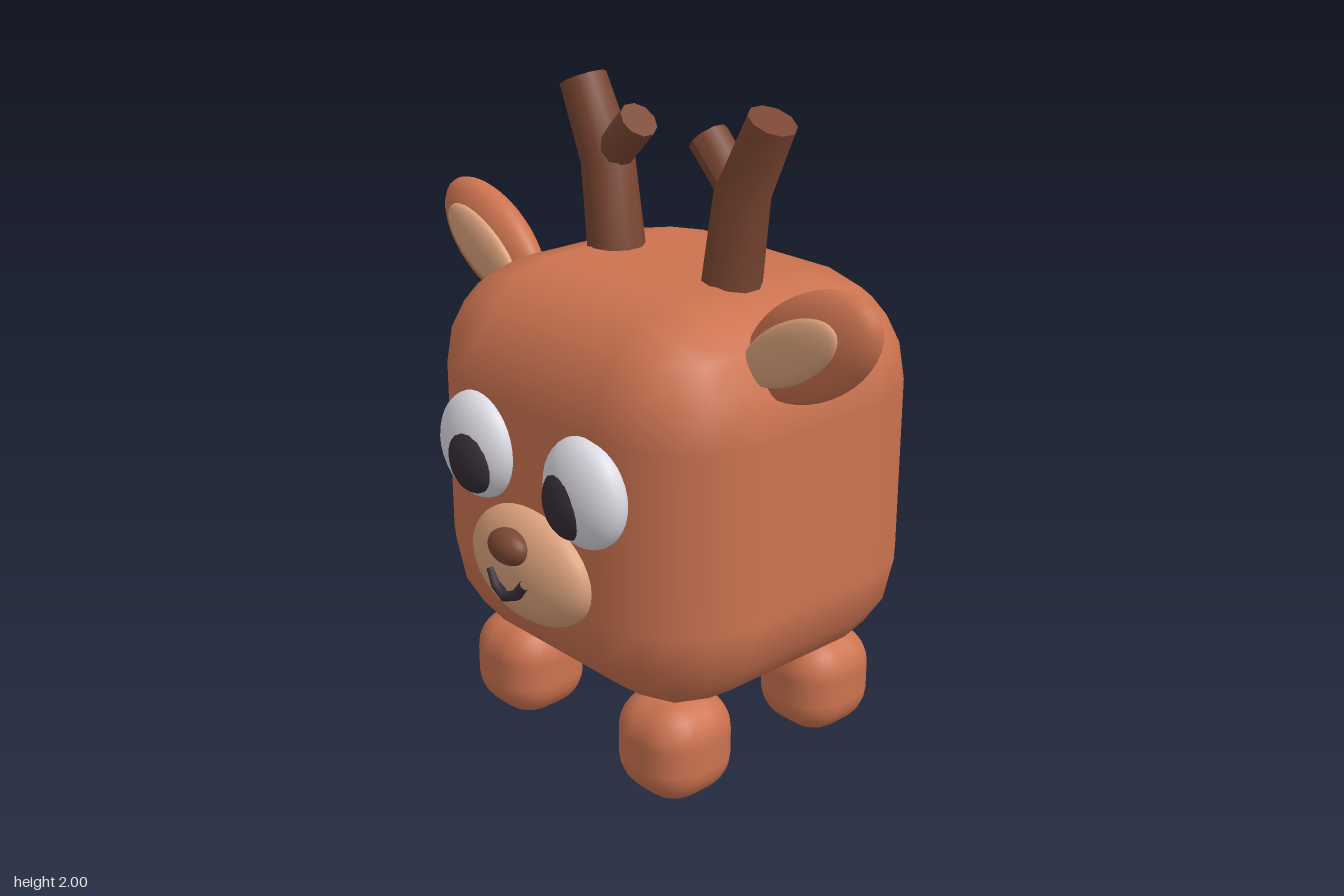
import * as THREE from 'three';
import { RoundedBoxGeometry } from 'three/addons/geometries/RoundedBoxGeometry.js';

const material = (name, color, side = THREE.FrontSide) => {
  const m = new THREE.MeshStandardMaterial({ color, side });
  m.name = name;
  return m;
};

export function createModel() {
  const fur = material('fur', 0xcc7350);
  const tan = material('tan', 0xdba27c);
  const brown = material('antlerBrown', 0x7a4632);
  const white = material('eyeWhite', 0xdcdae2);
  const dark = material('dark', 0x362d37, THREE.DoubleSide);

  const model = new THREE.Group();
  model.name = 'cubeDeer';

  const add = (name, geometry, mat, x = 0, y = 0, z = 0, parent = model) => {
    const mesh = new THREE.Mesh(geometry, mat);
    mesh.name = name;
    mesh.position.set(x, y, z);
    parent.add(mesh);
    return mesh;
  };
  const ellipsoid = (rx, ry, rz) => new THREE.SphereGeometry(1, 28, 18).scale(rx, ry, rz);

  // Round limb through a list of [x, y, radius, tilt] rings
  const limb = (rings) => {
    const n = rings.length - 1;
    const g = new THREE.CylinderGeometry(1, 1, 1, 10, n);
    const p = g.attributes.position;
    for (let i = 0; i < p.count; i++) {
      const [cx, cy, r, tilt] = rings[Math.round((p.getY(i) + 0.5) * n)];
      const px = p.getX(i) * r;
      p.setXYZ(i, cx + px * Math.cos(tilt), cy + px * Math.sin(tilt), p.getZ(i) * r);
    }
    g.computeVertexNormals();
    return g;
  };

  // Body: rounded cube, slightly shallow front to back
  add('body', new RoundedBoxGeometry(1.22, 1.22, 1.22, 2, 0.34).scale(1, 1, 0.893), fur, 0, 0.88, -0.065);

  // Muzzle, nose and smile
  add('muzzle', ellipsoid(0.26, 0.175, 0.1), tan, 0, 0.685, 0.48);
  add('nose', ellipsoid(0.077, 0.053, 0.048), brown, 0, 0.77, 0.568);
  const smile = new THREE.CatmullRomCurve3([
    [-0.077, 0.677, 0.574], [-0.043, 0.634, 0.583], [0, 0.618, 0.587], [0.043, 0.634, 0.583], [0.077, 0.677, 0.574],
  ].map((p) => new THREE.Vector3(...p)));
  add('mouth', new THREE.TubeGeometry(smile, 4, 0.017, 6), dark);

  for (const s of [1, -1]) {
    const side = s > 0 ? 'left' : 'right';

    // Eyes
    add(side + 'Eye', ellipsoid(0.157, 0.163, 0.085), white, s * 0.24, 0.99, 0.48);
    add(side + 'Pupil', ellipsoid(0.095, 0.109, 0.058), dark, s * 0.217, 0.965, 0.521);

    // Ears with a tan inner pad
    const ear = new THREE.Group();
    ear.name = side + 'Ear';
    ear.position.set(s * 0.685, 1.43, 0.065);
    ear.rotation.z = s * Math.PI / 6;
    model.add(ear);
    add('earOuter', ellipsoid(0.258, 0.145, 0.08), fur, 0, 0, 0, ear);
    add('earInner', ellipsoid(0.19, 0.083, 0.03), tan, -s * 0.024, 0.006, 0.067, ear);

    // Antlers: bent stem and short inner prong
    const antler = new THREE.Group();
    antler.name = side + 'Antler';
    antler.position.z = -0.062;
    antler.rotation.y = s > 0 ? 0 : Math.PI;
    model.add(antler);
    add('antlerStem', limb([[0.24, 1.42, 0.09, -0.1], [0.285, 1.745, 0.082, -0.28], [0.395, 1.968, 0.072, -0.44]]), brown, 0, 0, 0, antler);
    add('antlerProng', limb([[0.27, 1.755, 0.06, 0.76], [0.145, 1.882, 0.06, 0.76]]), brown, 0, 0, 0, antler);

    // Stubby legs
    for (const [end, z] of [['Front', 0.235], ['Back', -0.36]]) {
      add(side + end + 'Leg', new RoundedBoxGeometry(0.304, 0.32, 0.304, 3, 0.12), fur, s * 0.34, 0.16, z);
    }
  }
  return model;
}
